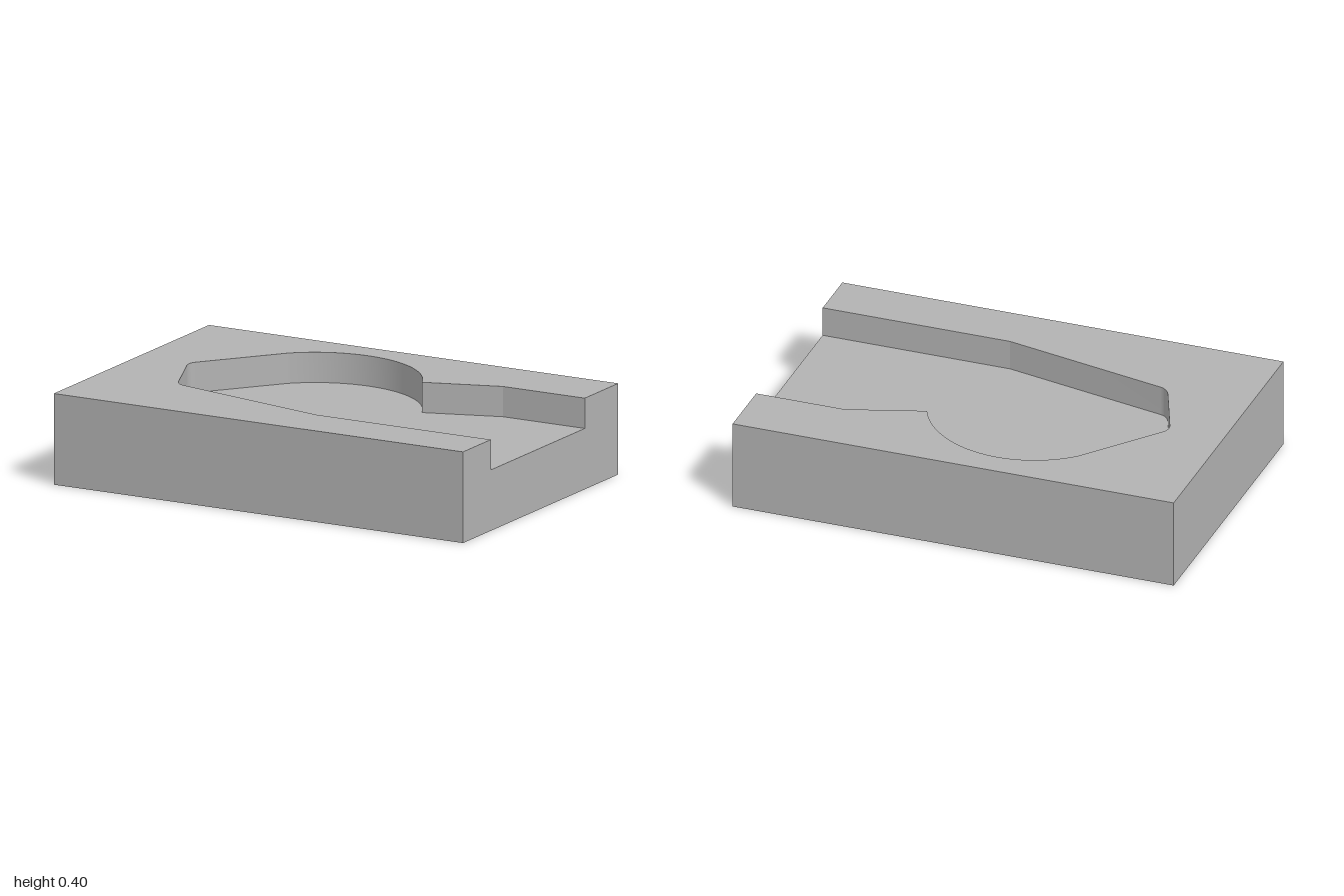
import * as THREE from 'three';
import { toCreasedNormals } from 'three/addons/utils/BufferGeometryUtils.js';

const HALF_X = 1, HALF_Z = 0.667, HEIGHT = 0.4, FLOOR = 0.267;

// Plan of the raised rim (shape y is -z), wrapping a pocket open on the +x side
function rimShape() {
  const s = new THREE.Shape();
  s.moveTo(-HALF_X, -HALF_Z);
  s.lineTo(HALF_X, -HALF_Z);
  s.lineTo(HALF_X, -0.428);
  s.lineTo(0.15, -0.428);
  s.lineTo(-0.59, -0.273);
  s.quadraticCurveTo(-0.625, -0.265, -0.643, -0.22); // rounded front corner
  s.lineTo(-0.745, 0.03);
  s.quadraticCurveTo(-0.759, 0.066, -0.734, 0.096); // rounded end corner
  s.absarc(-0.155, 0.09, 0.458, 2.34, 0.407, true); // round lobe
  s.lineTo(0.6, 0.38);
  s.lineTo(HALF_X, 0.38);
  s.lineTo(HALF_X, HALF_Z);
  s.lineTo(-HALF_X, HALF_Z);
  s.closePath();
  return s;
}

export function createModel() {
  const group = new THREE.Group();
  group.name = 'pocketedBlock';
  const grey = new THREE.MeshStandardMaterial({ color: 0xb3b3b3 });
  grey.name = 'grey';

  // Solid lower slab, whose top is the pocket floor
  const base = new THREE.Mesh(new THREE.BoxGeometry(2 * HALF_X, FLOOR, 2 * HALF_Z), grey);
  base.position.y = FLOOR / 2;
  base.name = 'baseSlab';

  // Rim around the pocket
  const rimGeometry = new THREE.ExtrudeGeometry(rimShape(), {
    depth: HEIGHT - FLOOR, bevelEnabled: false, curveSegments: 32,
  });
  rimGeometry.rotateX(-Math.PI / 2);
  const rim = new THREE.Mesh(toCreasedNormals(rimGeometry, 0.12), grey);
  rim.position.y = FLOOR;
  rim.name = 'pocketRim';

  group.add(base, rim);
  return group;
}
